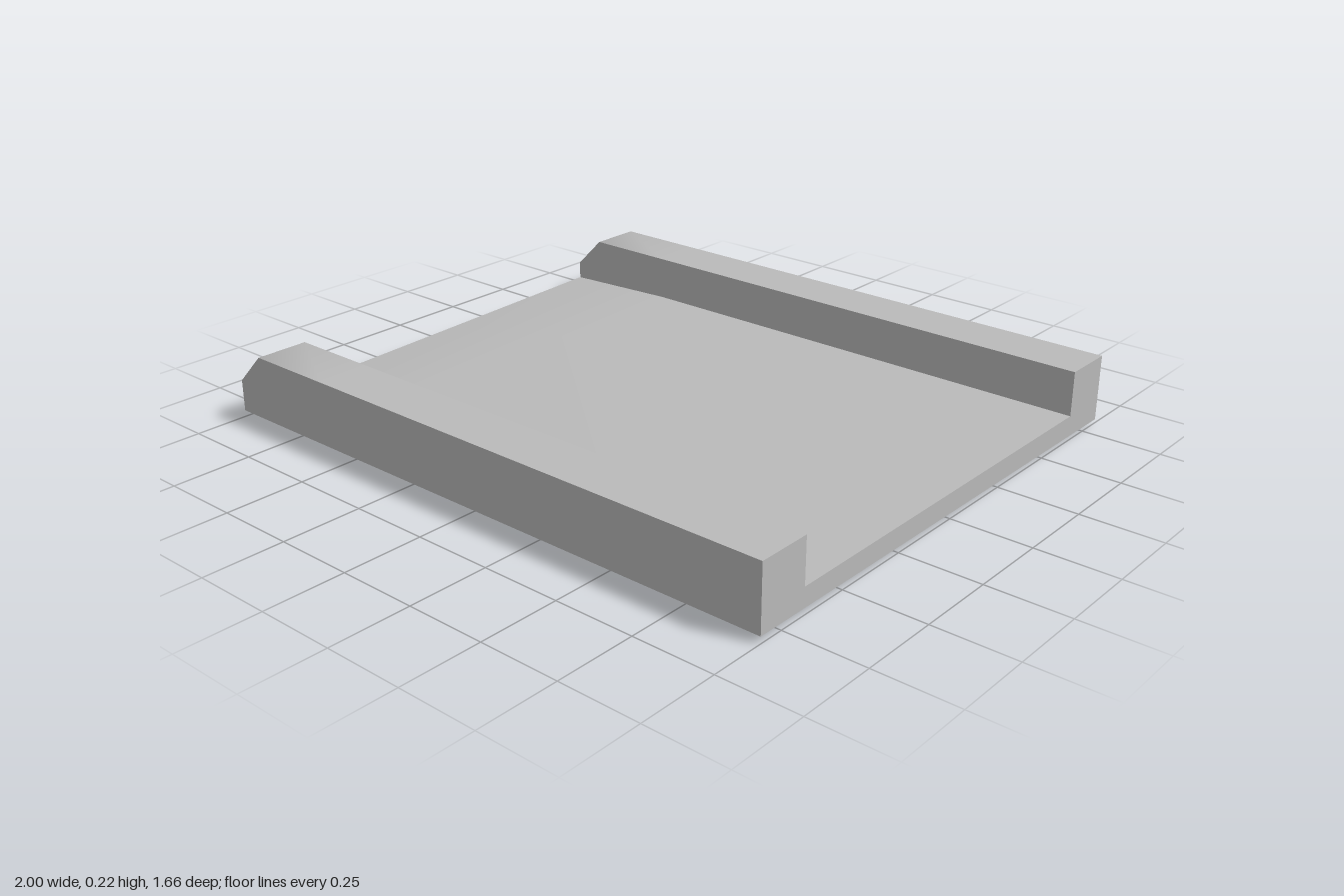
import * as THREE from 'three';

const OUTER = 0.83, INNER = 0.66, TOP = 0.22;
const STATIONS = [-1, -0.9, -0.6, 1];

// slightly tilted underside, and a floor that dips towards the chamfered end
const under = (x, z) => 0.02 - ((OUTER - z) / (2 * OUTER)) * (0.014 - 0.006 * x);
const floorY = (x, z) => {
  const dip = Math.max(0, (-0.6 - x) / 0.4);
  return 0.079 - dip * (0.032 + 0.024 * z);
};
const rim = (x) => Math.min(TOP, TOP + x + 0.9);

// lengthwise line of points at a given z, following a height rule
const line = (z, height) => STATIONS.map((x) => [x, height(x, z), z]);

export function createModel() {
  const group = new THREE.Group();
  const grey = new THREE.MeshStandardMaterial({ color: 0xbababa });
  grey.name = 'grey';

  // smooth ribbon between two polylines of equal length
  function ribbon(parent, name, a, b) {
    const points = [], index = [];
    a.forEach((p, i) => {
      points.push(...p, ...b[i]);
      if (i) {
        const k = 2 * i - 2;
        index.push(k, k + 1, k + 3, k, k + 3, k + 2);
      }
    });
    const geometry = new THREE.BufferGeometry();
    geometry.setAttribute('position', new THREE.Float32BufferAttribute(points, 3));
    geometry.setIndex(index);
    geometry.computeVertexNormals();
    const mesh = new THREE.Mesh(geometry, grey);
    mesh.name = name;
    parent.add(mesh);
  }

  // flat face closing the section at x = 1
  function endFace(parent, name, z0, z1, height) {
    const edge = (z) => [[1, under(1, z), z], [1, height(1, z), z]];
    ribbon(parent, name, edge(z1), edge(z0));
  }

  // base plate
  const base = new THREE.Group();
  base.name = 'basePlate';
  group.add(base);
  ribbon(base, 'floor', line(-INNER, floorY), line(INNER, floorY));
  ribbon(base, 'underside', line(OUTER, under), line(-OUTER, under));
  const lip = (z) => [[-1, under(-1, z), z], [-1, floorY(-1, z), z]];
  ribbon(base, 'floorLip', lip(-INNER), lip(INNER));
  endFace(base, 'floorEnd', -INNER, INNER, floorY);

  // side rails with one chamfered end
  for (const side of [-1, 1]) {
    const rail = new THREE.Group();
    rail.name = side > 0 ? 'frontRail' : 'backRail';
    group.add(rail);
    const z0 = side > 0 ? INNER : -OUTER;
    const z1 = side > 0 ? OUTER : -INNER;
    const lowBack = side > 0 ? floorY : under;
    const lowFront = side > 0 ? under : floorY;
    ribbon(rail, 'railBackFace', line(z0, lowBack), line(z0, rim));
    ribbon(rail, 'railFrontFace', line(z1, rim), line(z1, lowFront));
    const cap = (z) => [[-1, under(-1, z), z], ...line(z, rim)];
    ribbon(rail, 'railTopAndChamfer', cap(z0), cap(z1));
    endFace(rail, 'railEnd', z0, z1, rim);
  }
  return group;
}
